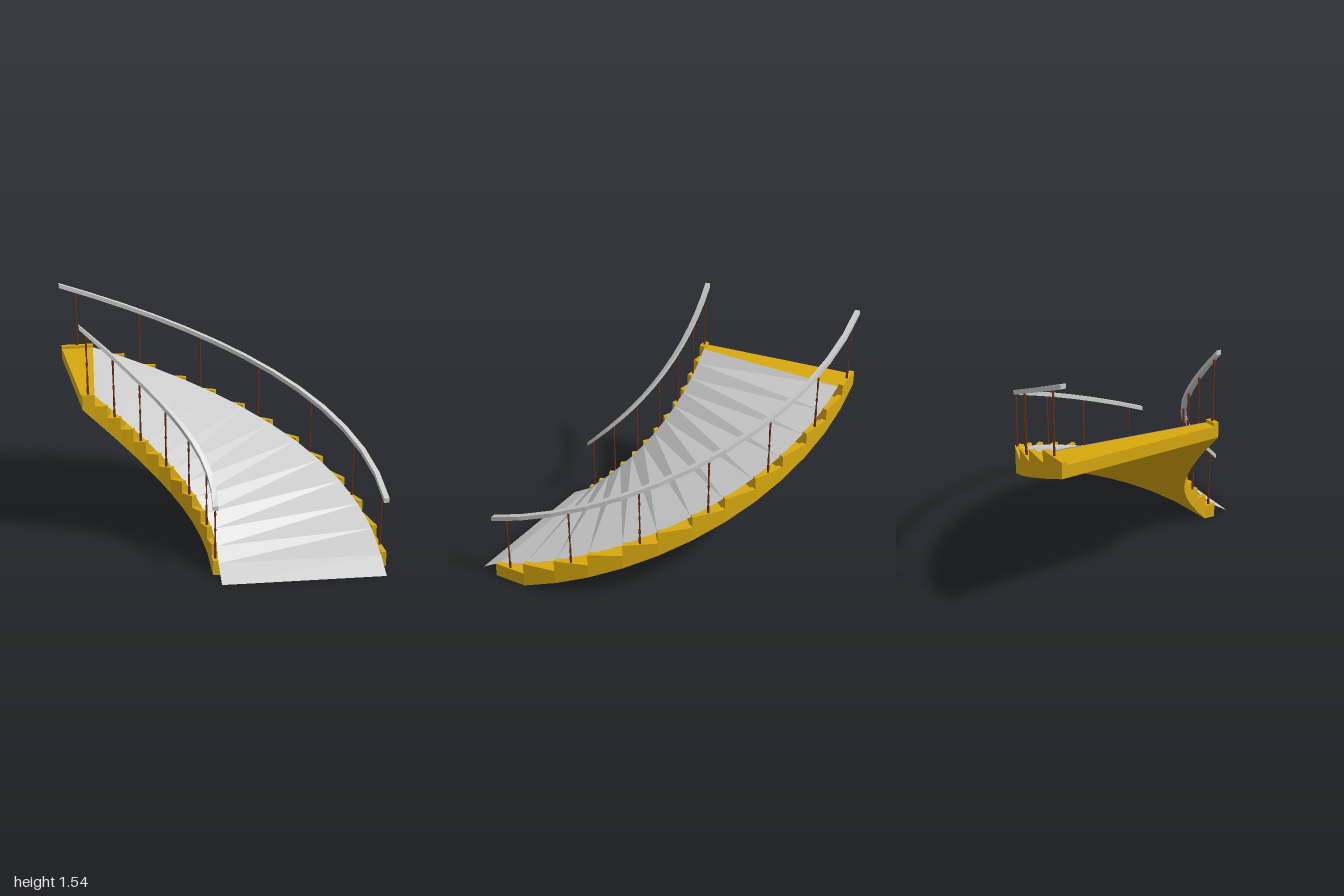
import * as THREE from 'three';

const STEPS = 13, RISE = 0.0815, TURN = THREE.MathUtils.degToRad(7.5);
const CX = -0.93, CZ = 0.64, RX = 1.855, RZ = 1.64;
const WIDTH = 0.035, SPAN = 1.095; // stringer width, offset of the inner stringer

const yellow = new THREE.MeshStandardMaterial({ color: 0xd8a80e, flatShading: true });
const grey = new THREE.MeshStandardMaterial({ color: 0xcccccc, flatShading: true });
const carpetGrey = new THREE.MeshStandardMaterial({ color: 0xcccccc, flatShading: true, side: THREE.DoubleSide });
const brown = new THREE.MeshStandardMaterial({ color: 0x6e3016 });

// Point at step position k, set inward by d from the outer elliptical edge
function at(k, d, y) {
  const u = (STEPS - k) * TURN, rx = RX - d, rz = RZ - d;
  const dx = Math.sin(u) * Math.sqrt(rx), dz = Math.cos(u) * Math.sqrt(rz);
  const s = 1 / Math.hypot(dx / rx, dz / rz);
  return new THREE.Vector3(CX + dx * s, y, CZ - dz * s);
}

// Rectangular section: inner bottom, outer bottom, outer top, inner top
function section(k, dOut, dIn, y0, y1) {
  return [at(k, dIn, y0), at(k, dOut, y0), at(k, dOut, y1), at(k, dIn, y1)];
}

function geometryFromQuads(quads) {
  const points = [];
  for (const [a, b, c, d] of quads) {
    for (const t of [[a, b, c], [a, c, d]]) {
      if (new THREE.Triangle(...t).getArea() > 1e-8) points.push(...t);
    }
  }
  const g = new THREE.BufferGeometry().setFromPoints(points);
  g.computeVertexNormals();
  return g;
}

// Closed solid through a row of four-cornered sections
function loft(sections) {
  const quads = [sections[0], [...sections[sections.length - 1]].reverse()];
  for (let n = 0; n + 1 < sections.length; n++) {
    const s = sections[n], t = sections[n + 1];
    for (let i = 0; i < 4; i++) {
      const j = (i + 1) % 4;
      quads.push([s[j], s[i], t[i], t[j]]);
    }
  }
  return geometryFromQuads(quads);
}

const under = (k) => Math.max(0, RISE * (k - 1));

// Stepped solid with a smooth sloping underside
function stepped(dOut, dIn, firstTop) {
  const sections = [];
  for (let k = 0; k < STEPS; k++) {
    const top = firstTop + RISE * k;
    sections.push(section(k, dOut, dIn, under(k), top), section(k + 1, dOut, dIn, under(k + 1), top));
  }
  return loft(sections);
}

export function createModel() {
  const root = new THREE.Group();
  root.name = 'curvedStaircase';
  const add = (name, geometry, material, parent = root) => {
    const mesh = new THREE.Mesh(geometry, material);
    mesh.name = name;
    parent.add(mesh);
    return mesh;
  };

  // Treads and risers between the stringers
  add('steps', stepped(WIDTH, SPAN, RISE - 0.003), yellow);

  // Turned baluster, bottom at the origin
  const H = 0.395;
  const profile = [
    [0, 0], [0.008, 0], [0.008, 0.05], [0.005, 0.06], [0.008, 0.09], [0.0045, 0.15], [0.0045, 0.18],
    [0.008, 0.2], [0.0045, 0.22], [0.0045, 0.27], [0.0075, 0.31], [0.005, 0.34], [0.007, 0.35], [0.007, H], [0, H],
  ].map(([r, y]) => new THREE.Vector2(r, y));
  const baluster = new THREE.LatheGeometry(profile, 8);

  // Stringer, handrail and balusters on each side
  for (const [side, d] of [['outer', 0], ['inner', SPAN]]) {
    add(side + 'Stringer', stepped(d, d + WIDTH, 0.1), yellow);

    const rail = [];
    for (let k = 0; k <= STEPS; k++) {
      rail.push(section(k, d, d + WIDTH, 0.452 + RISE * k, 0.482 + RISE * k));
    }
    add(side + 'Handrail', loft(rail), grey);

    const posts = new THREE.Group();
    posts.name = side + 'Balusters';
    for (let k = 0; k < STEPS; k += 2) {
      add('baluster', baluster, brown, posts).position.copy(at(k + 0.5, d + WIDTH / 2, 0.1 + RISE * k));
    }
    root.add(posts);
  }

  // Carpet running over the nosings and down to the floor
  const edges = [];
  for (let k = 0; k < STEPS; k++) {
    edges.push([at(k, SPAN, RISE * (k + 1)), at(k, WIDTH, RISE * (k + 1))]);
  }
  const toFloor = new THREE.Vector3(-0.01, -RISE, 0.135);
  edges.unshift(edges[0].map((p) => p.clone().add(toFloor)));
  const strips = edges.slice(1).map((e, i) => [edges[i][0], edges[i][1], e[1], e[0]]);
  add('carpet', geometryFromQuads(strips), carpetGrey);

  return root;
}
